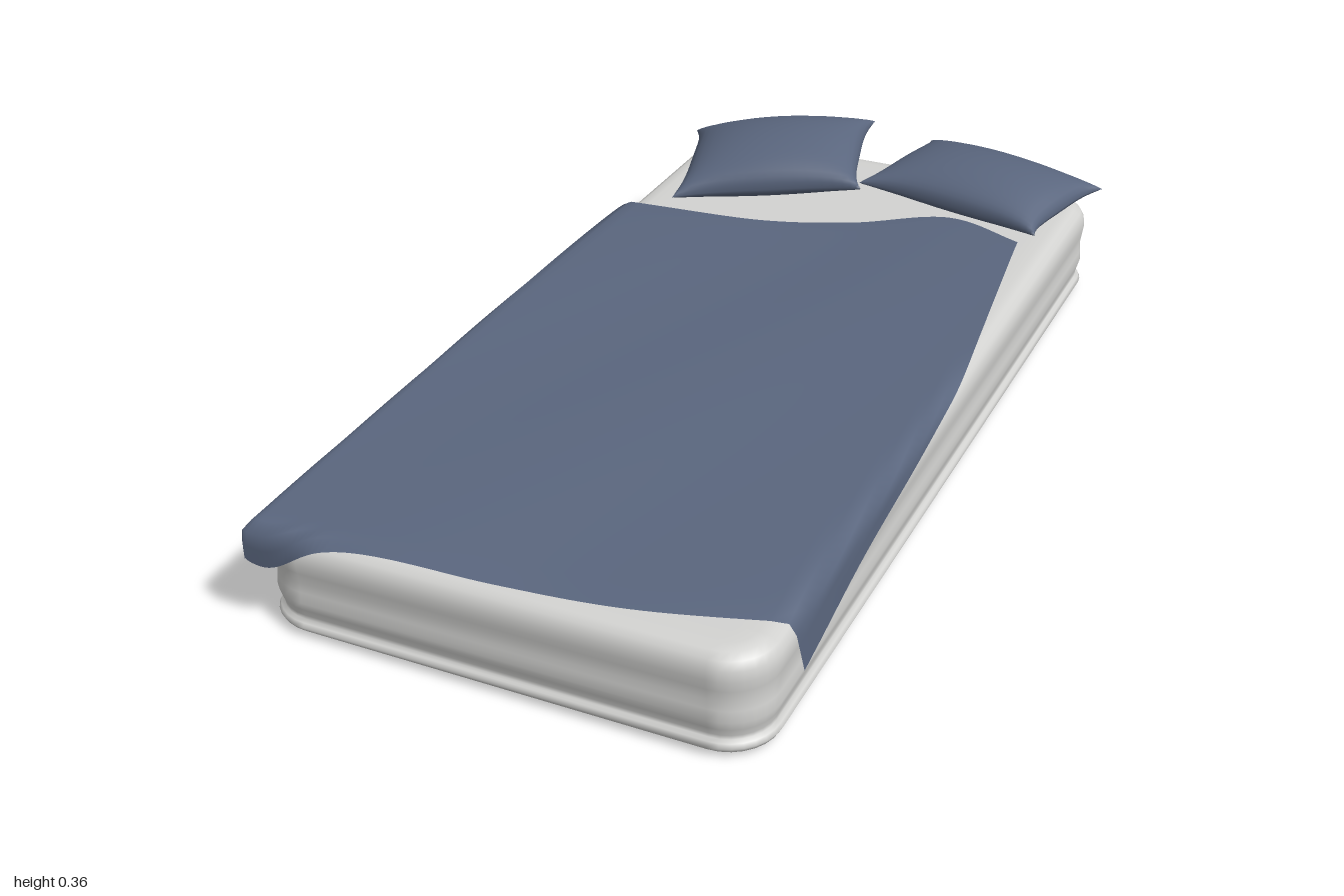
import * as THREE from 'three';
import { mergeGeometries, mergeVertices } from 'three/addons/utils/BufferGeometryUtils.js';

const mattressCloth = new THREE.MeshStandardMaterial({ color: 0xd3d3d1 });
mattressCloth.name = 'mattressCloth';
const blueFabric = new THREE.MeshStandardMaterial({ color: 0x5a667e, side: THREE.DoubleSide });
blueFabric.name = 'blueFabric';

function named(mesh, name) {
  mesh.name = name;
  return mesh;
}

// Mattress: rounded-rectangle rings stacked along a padded side profile
function mattressGeometry() {
  const halfX = 0.483, halfZ = 0.967, midZ = 0.022, radius = 0.095, seg = 7;
  const profile = [ // [inset, height]
    [0.483, 0.004], [0.07, 0.004], [0.045, 0.004], [0.022, 0.009], [0.005, 0.017], [0, 0.026],
    [0.004, 0.034], [0.011, 0.038], [0.011, 0.046], [0.007, 0.06], [0.002, 0.078], [0.004, 0.1],
    [0.006, 0.118], [0.003, 0.14], [0, 0.16], [0.002, 0.18], [0.01, 0.195], [0.024, 0.204],
    [0.045, 0.207], [0.075, 0.207], [0.483, 0.207],
  ];
  const pos = [], index = [], n = 4 * (seg + 1);
  for (const [inset, y] of profile) {
    const r = Math.max(radius - inset, 0);
    for (let c = 0; c < 4; c++) {
      const sx = c === 0 || c === 3 ? 1 : -1, sz = c < 2 ? 1 : -1;
      for (let i = 0; i <= seg; i++) {
        const a = (c + i / seg) * Math.PI / 2;
        pos.push(sx * (halfX - inset - r) + r * Math.cos(a), y,
          midZ + sz * (halfZ - inset - r) + r * Math.sin(a));
      }
    }
  }
  for (let k = 0; k < profile.length - 1; k++) {
    for (let i = 0; i < n; i++) {
      const a = k * n + i, b = k * n + (i + 1) % n;
      index.push(a, a + n, b, b, a + n, b + n);
    }
  }
  const g = new THREE.BufferGeometry();
  g.setAttribute('position', new THREE.Float32BufferAttribute(pos, 3));
  g.setIndex(index);
  g.computeVertexNormals();
  return g;
}

// Bend a flat distance over an edge: returns [distance, drop]
function fold(d, limit, r = 0.02) {
  const over = Math.abs(d) - (limit - r), s = Math.sign(d);
  if (over <= 0) return [d, 0];
  const a = Math.min(over / r, Math.PI / 2);
  return [s * (limit - r + r * Math.sin(a)), r * (1 - Math.cos(a)) + Math.max(0, over - r * Math.PI / 2)];
}

// Blanket: a skewed sheet between head and foot edges, draped over the mattress
function blanketGeometry() {
  const edge = (pts) => new THREE.CatmullRomCurve3(pts.map(([x, z]) => new THREE.Vector3(x, 0, z)));
  const head = edge([[-0.65, -0.44], [-0.49, -0.45], [-0.17, -0.48], [0.03, -0.56], [0.22, -0.67], [0.4, -0.61]]);
  const foot = edge([[-0.55, 1.03], [-0.45, 1.065], [-0.32, 1.0], [0, 0.968], [0.25, 0.935], [0.6, 0.83]]);
  const g = new THREE.PlaneGeometry(1, 1, 60, 50);
  const p = g.attributes.position;
  for (let i = 0; i < p.count; i++) {
    const s = p.getX(i) + 0.5, t = 0.5 - p.getY(i);
    const flat = head.getPoint(s).lerp(foot.getPoint(s), t);
    const [x, dropX] = fold(flat.x, 0.489);
    const [z, dropZ] = fold(flat.z, 0.996);
    const drop = Math.max(dropX, dropZ);
    const flare = Math.sign(x) * Math.min(dropX * 4, 1) * (0.004 + 0.006 * Math.sin(flat.z * 11 - 1));
    const ripple = 0.003 * Math.sin(flat.x * 9 + flat.z * 4) * Math.sin(Math.PI * s);
    const crown = 0.01 * Math.pow(Math.sin(Math.PI * t), 0.5);
    p.setXYZ(i, x + flare, 0.219 + crown + ripple - drop, z);
  }
  g.computeVertexNormals();
  return g;
}

// Pillow: two puffed grids sewn at the rim, with pulled-out corners
function pillowGeometry(width, depth, up, down) {
  const half = (height, side) => {
    const g = new THREE.PlaneGeometry(2, 2, 20, 20);
    const p = g.attributes.position;
    for (let i = 0; i < p.count; i++) {
      const u = Math.sin(p.getX(i) * Math.PI / 2), v = -Math.sin(p.getY(i) * Math.PI / 2);
      const puff = Math.pow(Math.max(0, (1 - u * u) * (1 - v * v)), 0.42);
      p.setXYZ(i,
        u * width / 2 * (1 - 0.09 * (1 - Math.pow(v, 4))),
        side * height * puff,
        side * v * depth / 2 * (1 - 0.1 * (1 - Math.pow(u, 4))));
    }
    g.deleteAttribute('normal');
    g.deleteAttribute('uv');
    return g;
  };
  const g = mergeVertices(mergeGeometries([half(up, 1), half(down, -1)]), 1e-5);
  g.computeVertexNormals();
  return g;
}

export function createModel() {
  const model = new THREE.Group();
  model.name = 'mattressWithBedding';
  model.add(named(new THREE.Mesh(mattressGeometry(), mattressCloth), 'mattress'));
  model.add(named(new THREE.Mesh(blanketGeometry(), blueFabric), 'blanket'));

  // Two loose pillows at the head end
  const pillows = [
    { name: 'rightPillow', size: [0.43, 0.335, 0.075, 0.045], at: [-0.206, 0.282, -0.678], turn: [0.07, 0.27, 0.12] },
    { name: 'leftPillow', size: [0.46, 0.305, 0.067, 0.038], at: [0.25, 0.247, -0.8], turn: [0, -0.23, 0] },
  ];
  for (const { name, size, at, turn } of pillows) {
    const pillow = named(new THREE.Mesh(pillowGeometry(...size), blueFabric), name);
    pillow.position.set(...at);
    pillow.rotation.set(...turn, 'YXZ');
    model.add(pillow);
  }
  return model;
}
